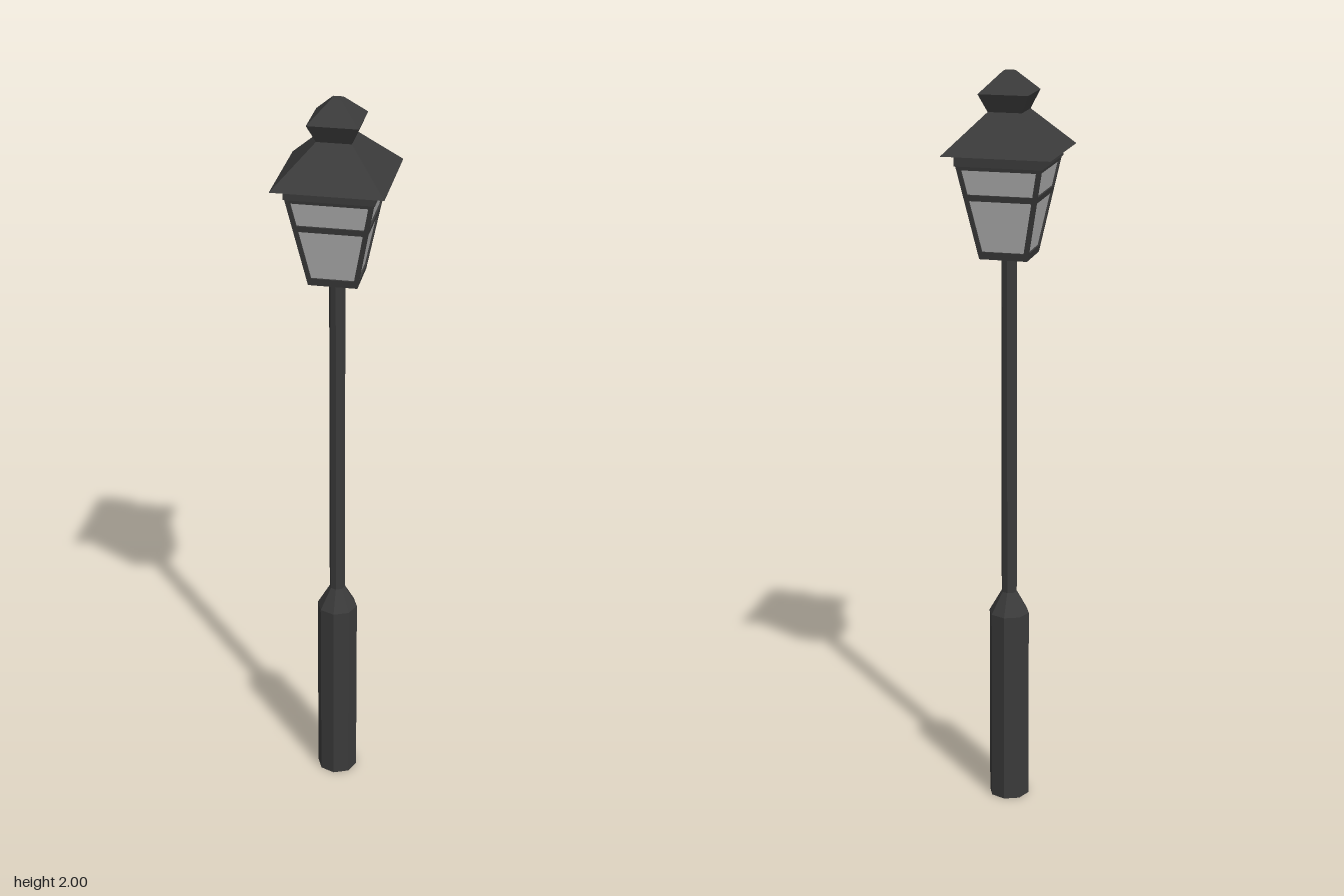
import * as THREE from 'three';

export function createModel() {
  const lamp = new THREE.Group();
  lamp.name = 'streetLamp';
  const iron = new THREE.MeshStandardMaterial({ name: 'darkIron', color: 0x3b3b3b, flatShading: true });
  const glass = new THREE.MeshStandardMaterial({ name: 'paleGlass', color: 0xb2b2b2, flatShading: true });

  function add(name, geometry, material) {
    const mesh = new THREE.Mesh(geometry, material);
    mesh.name = name;
    lamp.add(mesh);
    return mesh;
  }

  // Upright tapered prism between two heights
  function prism(name, y0, y1, r0, r1, sides, material = iron) {
    const g = new THREE.CylinderGeometry(r1, r0, y1 - y0, sides);
    g.translate(0, (y0 + y1) / 2, 0);
    return add(name, g, material);
  }

  // Square taper given by half widths, sides facing the axes
  function square(name, y0, y1, h0, h1, material = iron) {
    const mesh = prism(name, y0, y1, h0 * Math.SQRT2, h1 * Math.SQRT2, 4, material);
    mesh.geometry.rotateY(Math.PI / 4);
    return mesh;
  }

  // Octagonal base, shoulder and pole
  prism('base', 0, 0.54, 0.055, 0.055, 8);
  prism('baseShoulder', 0.54, 0.6, 0.055, 0.021, 8);
  prism('pole', 0.6, 1.54, 0.021, 0.021, 8);

  // Half width of the lantern at a given height
  const bottom = 1.527, top = 1.772;
  const half = (y) => THREE.MathUtils.mapLinear(y, bottom, top, 0.063, 0.111);

  // Glass body and the rails around it
  const inset = 0.005;
  square('glassPanes', 1.54, 1.768, half(1.54) - inset, half(1.768) - inset, glass);
  const rails = [['bottomRail', bottom, 1.547], ['middleRail', 1.682, 1.698], ['topRail', 1.762, top]];
  for (const [name, y0, y1] of rails) square(name, y0, y1, half(y0), half(y1));

  // Leaning corner posts
  for (const sx of [-1, 1]) {
    for (const sz of [-1, 1]) {
      const w = 0.012;
      const g = new THREE.BoxGeometry(w, top - bottom, w);
      g.translate(0, (top + bottom) / 2, 0);
      const p = g.attributes.position;
      for (let i = 0; i < p.count; i++) {
        const d = half(p.getY(i)) - w / 2;
        p.setX(i, p.getX(i) + sx * d);
        p.setZ(i, p.getZ(i) + sz * d);
      }
      g.computeVertexNormals();
      add('cornerPost', g, iron);
    }
  }

  // Collar, roof and finial
  square('collar', top, 1.803, 0.114, 0.114);
  square('roof', 1.8, 1.903, 0.142, 0.042);
  square('finialNeck', 1.895, 1.947, 0.042, 0.065);
  square('finialCap', 1.947, 2, 0.065, 0.013);

  return lamp;
}
